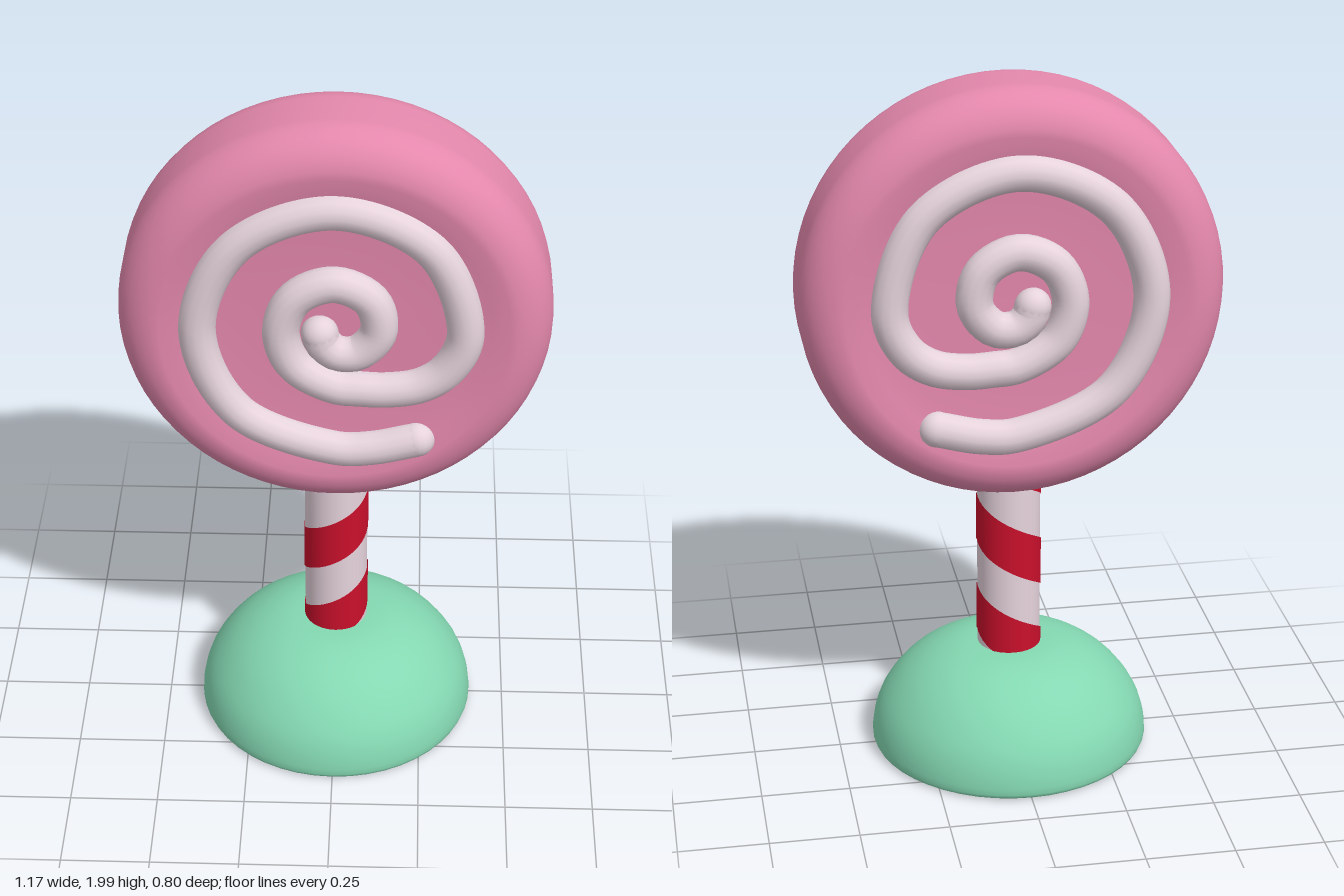
import * as THREE from 'three';

const mat = (name, color, side = THREE.FrontSide) => {
  const m = new THREE.MeshStandardMaterial({ color, side });
  m.name = name;
  return m;
};
const CY = 1.408; // height of the candy centre

// Smooth lathe through a few profile points
function lathe(points, segments) {
  const v = points.map(([x, y]) => new THREE.Vector2(x, y));
  return new THREE.LatheGeometry(v, segments);
}

// Spiral stripe on the stick: climbs from -x to +x, alike on front and back
function stripe(bottom, top, rise, radius, yMin, yMax) {
  const pos = [], nor = [], idx = [], n = 40;
  const clamp = (y) => Math.min(yMax, Math.max(yMin, y));
  for (let i = 0; i <= n; i++) {
    const t = -Math.PI + (2 * Math.PI * i) / n;
    const lift = (rise * Math.abs(t)) / Math.PI;
    const nx = -Math.cos(t), nz = Math.sin(t);
    for (const y of [bottom + lift, top + lift]) {
      pos.push(nx * radius, clamp(y), nz * radius);
      nor.push(nx, 0, nz);
    }
    if (i < n) idx.push(2 * i, 2 * i + 2, 2 * i + 1, 2 * i + 1, 2 * i + 2, 2 * i + 3);
  }
  const g = new THREE.BufferGeometry();
  g.setAttribute('position', new THREE.Float32BufferAttribute(pos, 3));
  g.setAttribute('normal', new THREE.Float32BufferAttribute(nor, 3));
  g.setIndex(idx);
  return g;
}

export function createModel() {
  const model = new THREE.Group();
  const pink = mat('candy pink', 0xe488ac);
  const white = mat('sugar white', 0xe6d3dc);
  const red = mat('stripe red', 0xc9102b, THREE.DoubleSide);
  const green = mat('mint green', 0x84d8b2);
  const add = (parent, name, geometry, material) => {
    const mesh = new THREE.Mesh(geometry, material);
    mesh.name = name;
    parent.add(mesh);
    return mesh;
  };

  // Domed base with a flat underside
  const dome = new THREE.SplineCurve([
    [0.385, 0.008], [0.4, 0.025], [0.392, 0.09], [0.365, 0.155], [0.31, 0.225],
    [0.24, 0.277], [0.16, 0.308], [0.08, 0.316], [0, 0.317],
  ].map(([x, y]) => new THREE.Vector2(x, y))).getPoints(24);
  dome[dome.length - 1].x = 0;
  add(model, 'base', new THREE.LatheGeometry(dome, 48), green);
  const foot = add(model, 'baseUnderside', new THREE.CircleGeometry(0.386, 48), green);
  foot.rotation.x = Math.PI / 2;
  foot.position.y = 0.008;

  // Striped stick
  const stick = new THREE.Group();
  stick.name = 'stick';
  model.add(stick);
  const shaft = add(stick, 'shaft', new THREE.CylinderGeometry(0.09, 0.09, 0.6, 40), white);
  shaft.position.y = 0.59;
  for (let k = 0; k < 4; k++) {
    const y = -0.085 + 0.285 * k;
    add(stick, 'stripe', stripe(y, y + 0.145, 0.16, 0.0925, 0.29, 0.87), red);
  }

  // Round candy with a soft rim and slightly dished faces
  const half = [[0, 0.15], [0.2, 0.15], [0.36, 0.154], [0.42, 0.166], [0.47, 0.175]];
  for (let i = 1; i <= 8; i++) {
    const a = (Math.PI / 2) * (1 - i / 8);
    half.push([0.47 + 0.117 * Math.cos(a), 0.06 + 0.115 * Math.sin(a)]);
  }
  const profile = [...half.map(([x, z]) => [x, -z]), ...half.slice().reverse()];
  const candy = add(model, 'candy', lathe(profile, 72), pink);
  candy.rotation.x = Math.PI / 2;
  candy.position.y = CY;

  // White swirl on both faces: [angle in degrees, radius], running inward
  const path = [
    [-57, 0.415], [-75, 0.392], [-90, 0.38], [-135, 0.372], [-180, 0.367], [-225, 0.368],
    [-270, 0.37], [-315, 0.363], [-360, 0.35], [-380, 0.328], [-395, 0.29], [-412, 0.235],
    [-430, 0.195], [-450, 0.176], [-495, 0.154], [-540, 0.143], [-585, 0.145],
    [-630, 0.148], [-675, 0.138], [-720, 0.118], [-765, 0.092], [-805, 0.068], [-850, 0.048], [-890, 0.04],
  ];
  for (const s of [1, -1]) {
    const swirl = new THREE.Group();
    swirl.name = s > 0 ? 'frontSwirl' : 'backSwirl';
    model.add(swirl);
    const pts = path.map(([d, r]) => {
      const a = THREE.MathUtils.degToRad(d);
      return new THREE.Vector3(r * Math.cos(a), CY + r * Math.sin(a), s * 0.157);
    });
    const curve = new THREE.CatmullRomCurve3(pts);
    add(swirl, 'swirlTube', new THREE.TubeGeometry(curve, 180, 0.051, 14, false), white);
    for (const p of [pts[0], pts[pts.length - 1]]) {
      add(swirl, 'swirlTip', new THREE.SphereGeometry(0.051, 18, 12), white).position.copy(p);
    }
  }
  return model;
}
